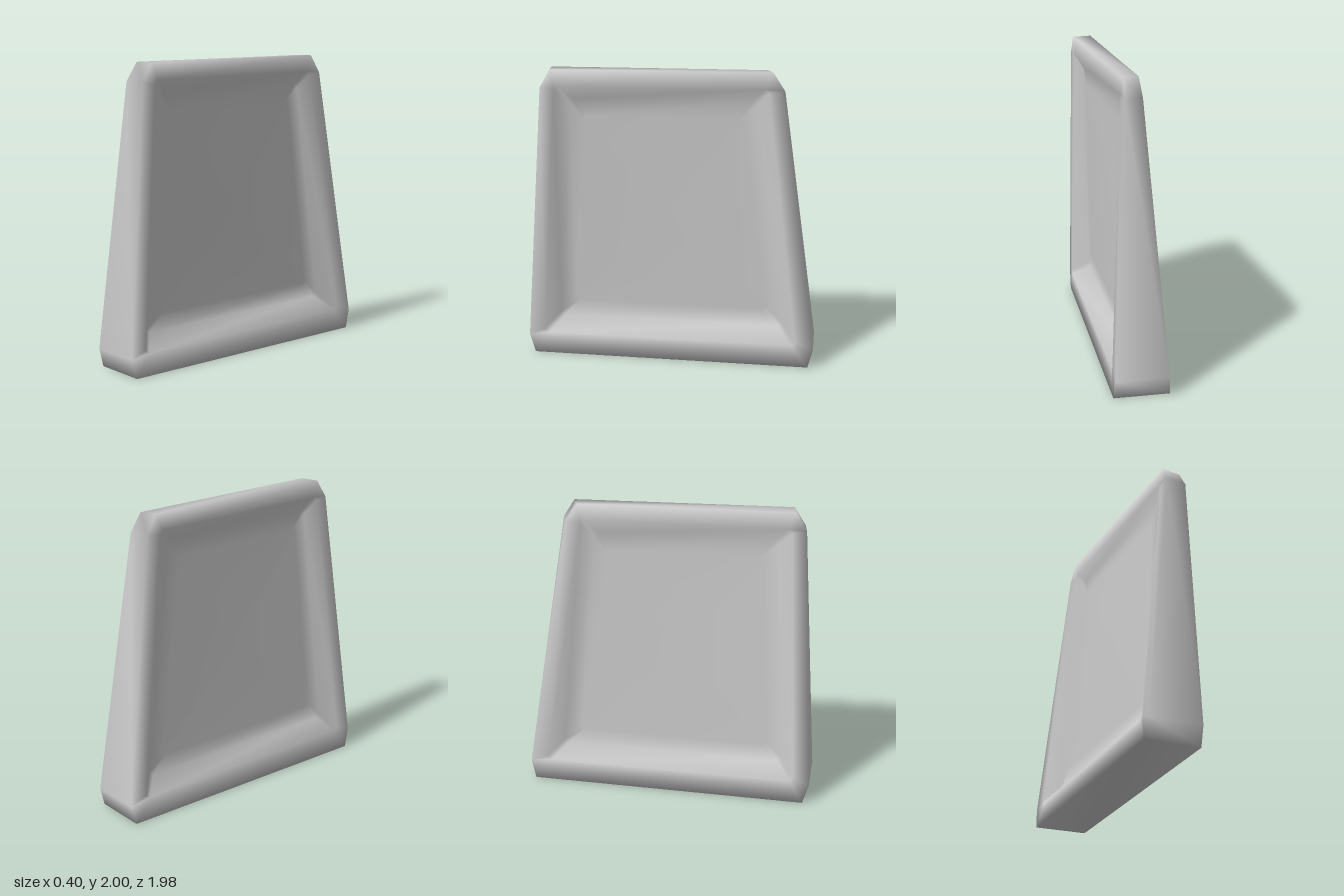
import * as THREE from 'three';

const lerp = THREE.MathUtils.lerp;

// Face position: bilinear blend of corner x values (the slab tapers upward and twists slightly)
function faceX(side, z, y) {
  const t = y / 2, front = 1 - 0.06 * y, back = -1.008 + 0.137 * y;
  const u = (z - back) / (front - back);
  return side > 0
    ? lerp(lerp(0.198, 0.08, t), lerp(0.17, 0.16, t), u)
    : lerp(lerp(-0.17, -0.025, t), lerp(-0.2, 0.03, t), u);
}

// Four-sided loop with clipped corners, as eight [z, y] points
function clippedLoop(y0, y1, f0, f1, b0, b1, cut) {
  return [
    [f0 - cut, y0], [f0, y0 + cut], [f1, y1 - cut], [f1 - cut, y1],
    [b1 + cut, y1], [b1, y1 - cut], [b0, y0 + cut], [b0 + cut, y0],
  ];
}

const OUTER = [[0.95, 0], [0.99, 0.13], [0.885, 1.88], [0.81, 2],
  [-0.67, 2], [-0.75, 1.88], [-0.99, 0.13], [-0.955, 0]];
const RIM = clippedLoop(0.15, 1.89, 0.88, 0.79, -0.865, -0.645, 0.025);
const FLOOR = clippedLoop(0.245, 1.8, 0.785, 0.7, -0.765, -0.56, 0.025);

function shrink(loop, s) {
  return loop.map(([z, y]) => [z * s + 0.04 * (1 - s), lerp(1.02, y, s)]);
}

// Point on one face, sunk by a share of the thickness; the edges turn a little towards the top
function facePoint(side, z, y, depth) {
  const thick = faceX(1, z, y) - faceX(-1, z, y);
  const turn = (y / 2) * (side > 0 ? -0.02 * (z + 1) / 2 : 0.045 * (1 - z) / 2);
  return [faceX(side, z, y) - side * depth * thick, y, z + turn];
}

// Loops from the outer edge to the recessed floor of one face
function faceRings(side) {
  const depth = side > 0 ? 0.35 : 0.28;
  const rings = [[OUTER, 0], [RIM, 0], [FLOOR, depth]];
  for (const s of [0.85, 0.6, 0.3]) rings.push([shrink(FLOOR, s), depth]);
  return rings.map(([loop, d]) => loop.map(([z, y]) => facePoint(side, z, y, d)));
}

export function createModel() {
  const group = new THREE.Group();
  const rings = [...faceRings(1).reverse(), ...faceRings(-1)];
  const n = 8, points = rings.flat(), index = [];

  // Rims, recess walls, floors and the outer edge
  for (let r = 0; r < rings.length - 1; r++) {
    for (let i = 0; i < n; i++) {
      const j = (i + 1) % n;
      const a = r * n + i, b = r * n + j, c = b + n, d = a + n;
      index.push(a, b, c, a, c, d);
    }
  }

  // Middle of each floor
  const last = (rings.length - 1) * n, mid = points.length;
  points.push(facePoint(1, 0.04, 1.02, 0.35), facePoint(-1, 0.04, 1.02, 0.28));
  for (let i = 0; i < n; i++) {
    const j = (i + 1) % n;
    index.push(mid, j, i, mid + 1, last + i, last + j);
  }

  const geometry = new THREE.BufferGeometry();
  geometry.setAttribute('position', new THREE.Float32BufferAttribute(points.flat(), 3));
  geometry.setIndex(index);
  geometry.computeVertexNormals();
  const mesh = new THREE.Mesh(geometry, new THREE.MeshStandardMaterial({ color: 0xcccccc }));
  mesh.name = 'recessedPanel';
  group.add(mesh);
  return group;
}
